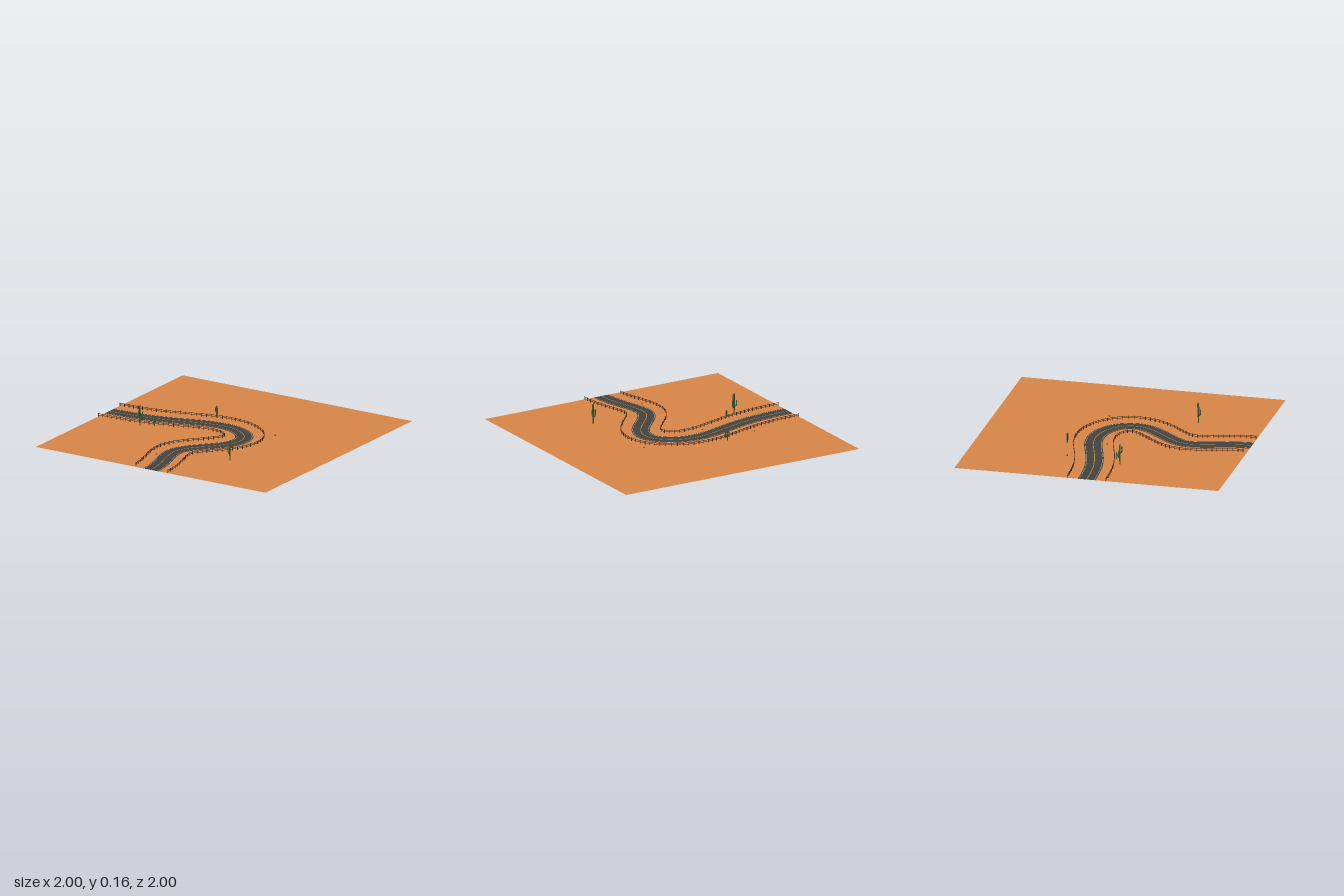
import * as THREE from 'three';

const mat = (color, double = false) =>
  new THREE.MeshStandardMaterial({ color, side: double ? THREE.DoubleSide : THREE.FrontSide });
const sand = mat(0xdb8849, true), asphalt = mat(0x45433d, true), white = mat(0xb8b8b0, true);
const yellow = mat(0xb08a45, true), wood = mat(0x4a2e1c), green = mat(0x3c5a2c), leaf = mat(0x4f8a2a, true);

// Road centre line on the ground, as (x, z)
const path = new THREE.CurvePath();
const v = (x, z) => new THREE.Vector2(x, z);
[
  [v(-1, 0), v(-0.5, 0), v(-0.35, -0.155), v(-0.11, -0.155)],
  [v(-0.11, -0.155), v(0.06, -0.155), v(0.19, -0.05), v(0.19, 0.07)],
  [v(0.19, 0.07), v(0.19, 0.26), v(-0.085, 0.38), v(-0.085, 0.55)],
  [v(-0.085, 0.55), v(-0.085, 0.68), v(0, 0.82), v(0, 1)],
].forEach((p) => path.add(new THREE.CubicBezierCurve(...p)));

// Points running parallel to the road; positive offsets lie on the inside of the bend
function parallel(offset, n = 90) {
  const pts = [];
  for (let i = 0; i <= n; i++) {
    const p = path.getPointAt(i / n), t = path.getTangentAt(i / n);
    pts.push(v(p.x - t.y * offset, p.y + t.x * offset));
  }
  return pts;
}

function flat(name, outline, y, material) {
  const g = new THREE.ShapeGeometry(new THREE.Shape(outline.map((p) => v(p.x, -p.y))));
  g.rotateX(-Math.PI / 2).translate(0, y, 0);
  const m = new THREE.Mesh(g, material);
  m.name = name;
  return m;
}
const strip = (name, a, b, y, material) =>
  flat(name, [...parallel(a), ...parallel(b).reverse()], y, material);

// Fence posts with two rails, following a parallel of the road
function fence(name, offset) {
  const group = new THREE.Group();
  group.name = name;
  const dense = parallel(offset, 400), pts = [dense[0]];
  for (const p of dense) if (p.distanceTo(pts[pts.length - 1]) > 0.036) pts.push(p);
  const posts = new THREE.InstancedMesh(new THREE.BoxGeometry(0.004, 0.026, 0.004), wood, 1);
  posts.dispose();
  pts.forEach((p, i) => {
    const post = new THREE.Mesh(posts.geometry, wood);
    post.name = 'fencePost';
    post.position.set(p.x, 0.013, p.y);
    group.add(post);
    const q = pts[i + 1];
    if (!q) return;
    post.rotation.y = -Math.atan2(q.y - p.y, q.x - p.x);
    for (const y of [0.011, 0.021]) {
      const rail = new THREE.Mesh(new THREE.BoxGeometry(p.distanceTo(q), 0.003, 0.002), wood);
      rail.name = 'fenceRail';
      rail.position.set((p.x + q.x) / 2, y, (p.y + q.y) / 2);
      rail.rotation.y = post.rotation.y;
      group.add(rail);
    }
  });
  return group;
}

// Tapered trunk with upturned arms: [direction angle, start height, tip height, reach]
function cactus(x, z, height, radius, arms) {
  const group = new THREE.Group();
  group.name = 'cactus';
  const add = (name, geo) => {
    const m = new THREE.Mesh(geo, green);
    m.name = name;
    group.add(m);
    return m;
  };
  const r = radius;
  add('cactusTrunk', new THREE.LatheGeometry(
    [v(r * 0.8, 0), v(r, height * 0.5), v(r * 0.9, height * 0.93), v(r * 0.5, height * 0.99), v(0, height)], 8));
  for (const [angle, low, high, reach] of arms) {
    const at = (d, y) => new THREE.Vector3(Math.cos(angle) * d, y, Math.sin(angle) * d);
    const curve = new THREE.CatmullRomCurve3(
      [at(0, low), at(reach * 0.7, low + 0.004), at(reach, low + 0.014), at(reach, high)]);
    add('cactusArm', new THREE.TubeGeometry(curve, 10, r * 0.75, 6));
    add('cactusArmTip', new THREE.SphereGeometry(r * 0.75, 6, 4)).position.copy(at(reach, high));
  }
  group.position.set(x, 0, z);
  return group;
}

// Small fan of grass blades
function tuft(x, z) {
  const group = new THREE.Group();
  group.name = 'grassTuft';
  for (let i = 0; i < 7; i++) {
    const blade = new THREE.Mesh(new THREE.ConeGeometry(0.003, 0.014, 3).translate(0, 0.007, 0), leaf);
    blade.name = 'grassBlade';
    blade.rotation.set(0, i * 0.9, i ? 0.7 : 0);
    group.add(blade);
  }
  group.position.set(x, 0, z);
  return group;
}

export function createModel() {
  const model = new THREE.Group();
  model.name = 'desertRoad';
  const half = 0.067;

  // Ground on both sides of the road, and the road between
  model.add(
    flat('groundInside', [...parallel(half), v(-1, 1)], 0, sand),
    flat('groundOutside', [...parallel(-half), v(1, 1), v(1, -1), v(-1, -1)], 0, sand),
    strip('road', -half, half, 0, asphalt),
    strip('centreLine', -0.003, 0.003, 0.001, yellow),
  );

  // Edge lines and fences
  for (const s of [-1, 1]) {
    model.add(strip('edgeLine', s * 0.056, s * 0.059, 0.001, white), fence('fence', s * 0.146));
  }

  // Plants
  model.add(
    cactus(-0.63, 0.16, 0.16, 0.006, [[Math.PI + 0.4, 0.055, 0.1, 0.018], [-0.5, 0.045, 0.105, 0.018], [1.6, 0.09, 0.14, 0.014]]),
    cactus(0.372, 0.5, 0.16, 0.006, [[Math.PI, 0.05, 0.105, 0.016], [-0.6, 0.1, 0.148, 0.014], [1.3, 0.055, 0.1, 0.014]]),
    cactus(-0.535, 0.11, 0.06, 0.004, [[2.6, 0.018, 0.045, 0.009], [-0.5, 0.022, 0.05, 0.009]]),
    cactus(-0.275, -0.33, 0.08, 0.005, [[Math.PI, 0.028, 0.06, 0.012], [0.4, 0.022, 0.066, 0.012]]),
  );
  for (const [x, z] of [[-0.55, -0.26], [0.34, -0.165], [-0.24, -0.035], [-0.155, 0.68]]) model.add(tuft(x, z));
  return model;
}
